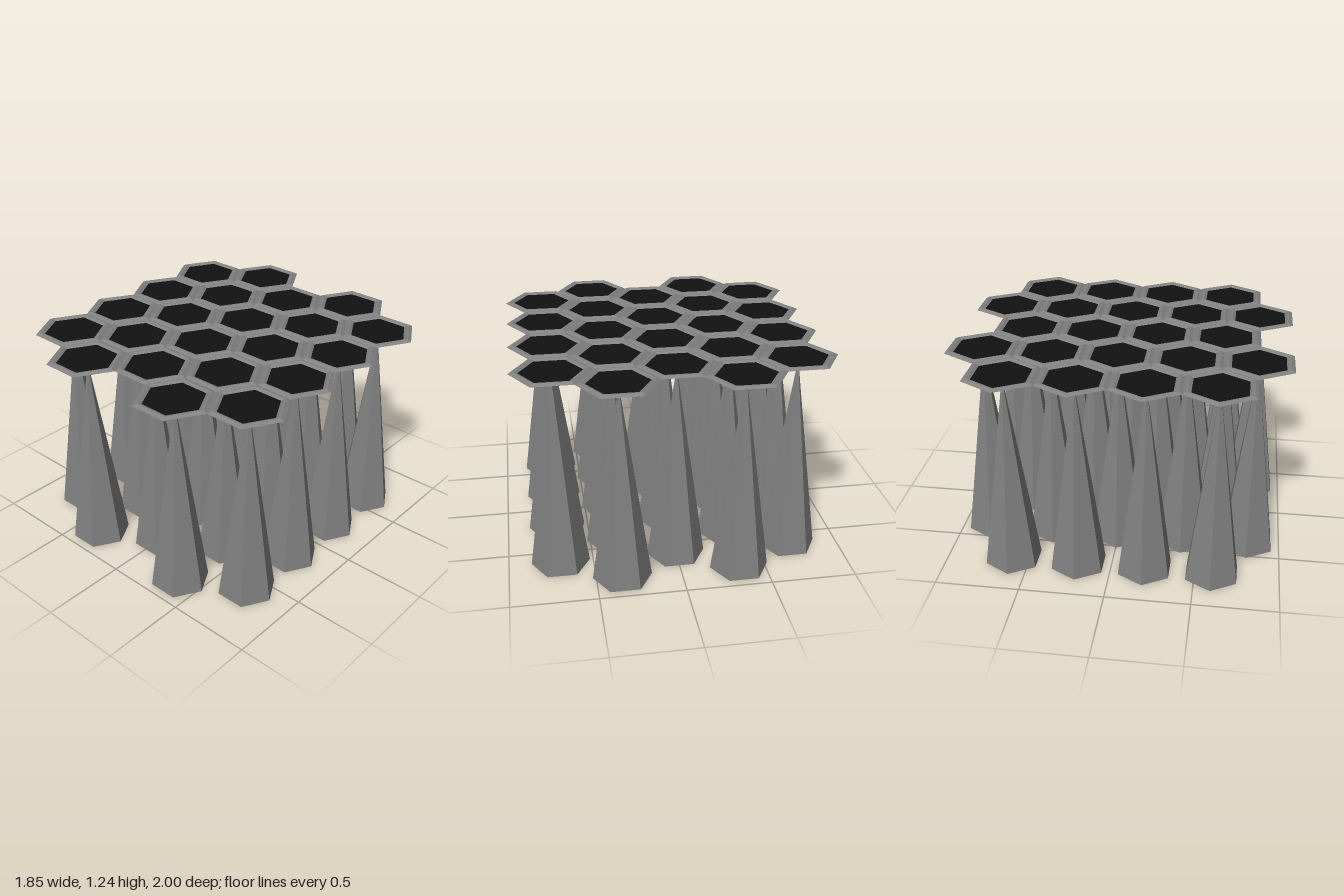
import * as THREE from 'three';

const PITCH = 0.4;                       // spacing between neighbouring cells
const COLUMN = PITCH * Math.sqrt(3) / 2; // spacing between columns
const radius = (apothem) => apothem * 2 / Math.sqrt(3);

export function createModel() {
  const model = new THREE.Group();
  model.name = 'hexagonCluster';

  const grey = new THREE.MeshStandardMaterial({ color: 0x808080, flatShading: true, side: THREE.DoubleSide });
  grey.name = 'stoneGrey';
  const black = new THREE.MeshStandardMaterial({ color: 0x111111, flatShading: true, side: THREE.DoubleSide });
  black.name = 'black';

  // Tall six-sided spike, open underneath
  const spikeGeo = new THREE.ConeGeometry(radius(0.15), 1.215, 6, 1, true, Math.PI / 2);
  spikeGeo.translate(0, 1.215 / 2, 0);

  // Thin bevelled frame, profile from the outer edge to the inner edge
  const profile = [[0.2, 1.228], [0.18, 1.24], [0.17, 1.24], [0.15, 1.228]]
    .map(([apothem, y]) => new THREE.Vector2(radius(apothem), y));
  const frameGeo = new THREE.LatheGeometry(profile, 6, Math.PI / 2);

  // Flat panel filling the frame
  const panelGeo = new THREE.CircleGeometry(radius(0.153), 6);
  panelGeo.rotateX(-Math.PI / 2);
  panelGeo.translate(0, 1.23, 0);

  const parts = [
    ['spike', spikeGeo, grey],
    ['frame', frameGeo, grey],
    ['panel', panelGeo, black],
  ];

  // Columns of four and five cells, alternating
  for (let c = -2; c <= 2; c++) {
    const count = c % 2 ? 5 : 4;
    for (let r = 0; r < count; r++) {
      const cell = new THREE.Group();
      cell.name = 'cell';
      cell.position.set(c * COLUMN, 0, (r - (count - 1) / 2) * PITCH);
      for (const [name, geometry, material] of parts) {
        const mesh = new THREE.Mesh(geometry, material);
        mesh.name = name;
        cell.add(mesh);
      }
      model.add(cell);
    }
  }
  return model;
}
